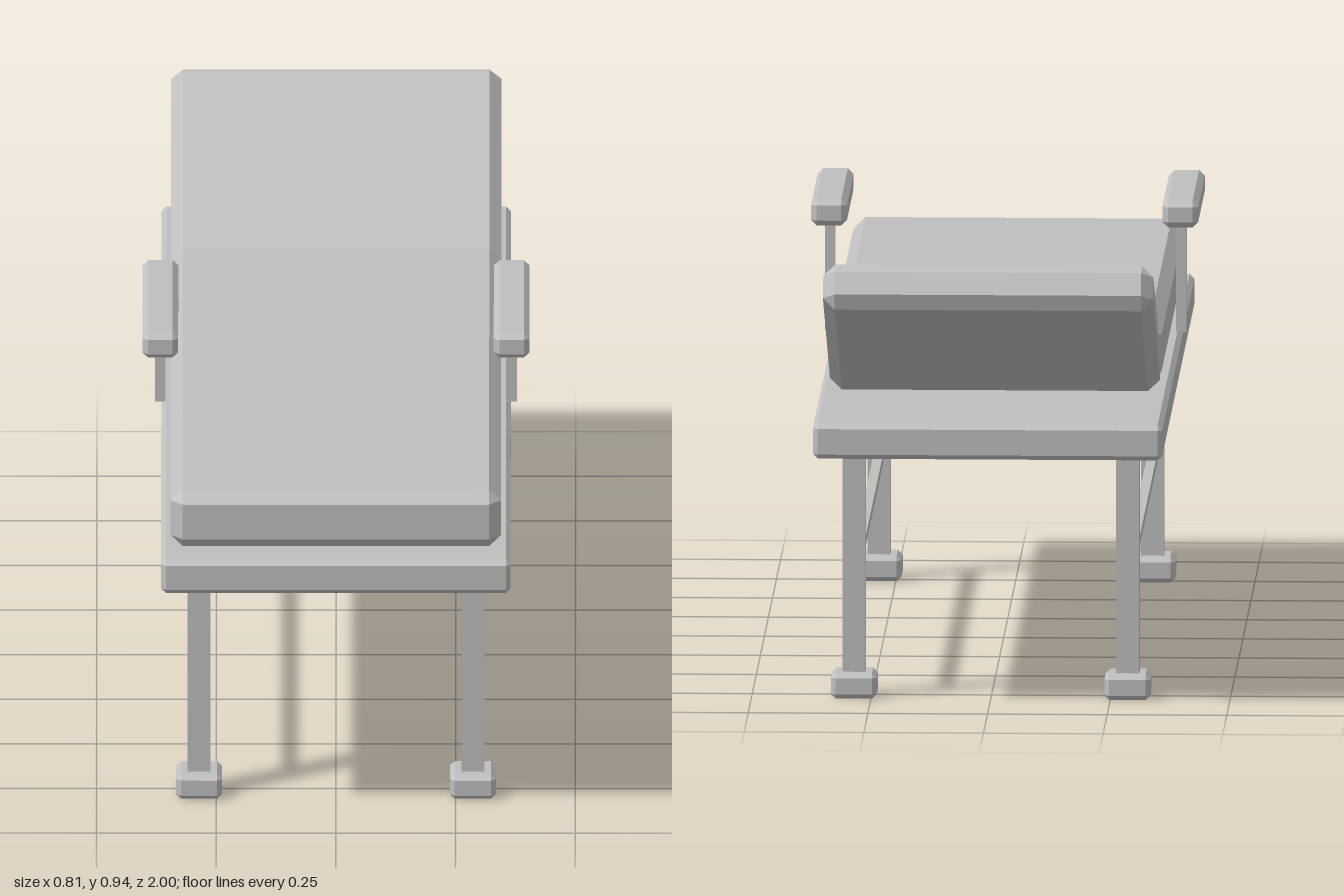
import * as THREE from 'three';
import { ConvexGeometry } from 'three/addons/geometries/ConvexGeometry.js';

const grey = new THREE.MeshStandardMaterial({ color: 0xbfbfbf });
grey.name = 'grey';

// Box with every edge cut by a flat chamfer c
function chamferBox(w, h, d, c) {
  const points = [];
  for (const x of [-1, 1]) for (const y of [-1, 1]) for (const z of [-1, 1]) {
    for (let axis = 0; axis < 3; axis++) {
      const half = [w / 2, h / 2, d / 2].map((s, i) => (i === axis ? s : s - c));
      points.push(new THREE.Vector3(x * half[0], y * half[1], z * half[2]));
    }
  }
  return new ConvexGeometry(points);
}

export function createModel() {
  const model = new THREE.Group();
  model.name = 'recliningBed';

  function add(name, geometry, x, y, z) {
    const mesh = new THREE.Mesh(geometry, grey);
    mesh.name = name;
    mesh.position.set(x, y, z);
    model.add(mesh);
    return mesh;
  }

  // Bed platform and cushions
  add('platform', chamferBox(0.73, 0.074, 2, 0.01), 0, 0.575, 0);
  add('mattress', chamferBox(0.69, 0.128, 1.4, 0.025), 0, 0.677, 0.24);
  add('backrest', chamferBox(0.69, 0.1, 0.55, 0.025), 0, 0.776, -0.738).rotation.x = 0.5;

  // Shared shapes for the mirrored parts
  const leg = new THREE.BoxGeometry(0.048, 0.5, 0.044);
  const foot = chamferBox(0.096, 0.054, 0.096, 0.01);
  const rail = new THREE.BoxGeometry(0.02, 0.02, 1.5);
  const post = new THREE.BoxGeometry(0.022, 0.24, 0.022);
  const armrest = chamferBox(0.075, 0.056, 0.43, 0.012);

  for (const [side, s] of [['left', 1], ['right', -1]]) {
    // Legs, feet and the rail joining them
    for (const [end, e] of [['Front', 1], ['Back', -1]]) {
      add(`${side}${end}Leg`, leg, s * 0.286, 0.295, e * 0.768);
      add(`${side}${end}Foot`, foot, s * 0.286, 0.028, e * 0.768);
    }
    add(`${side}Rail`, rail, s * 0.286, 0.262, 0);

    // Armrest on its post
    add(`${side}ArmPost`, post, s * 0.367, 0.75, 0.135);
    add(`${side}Armrest`, armrest, s * 0.367, 0.888, 0.27);
  }

  return model;
}
